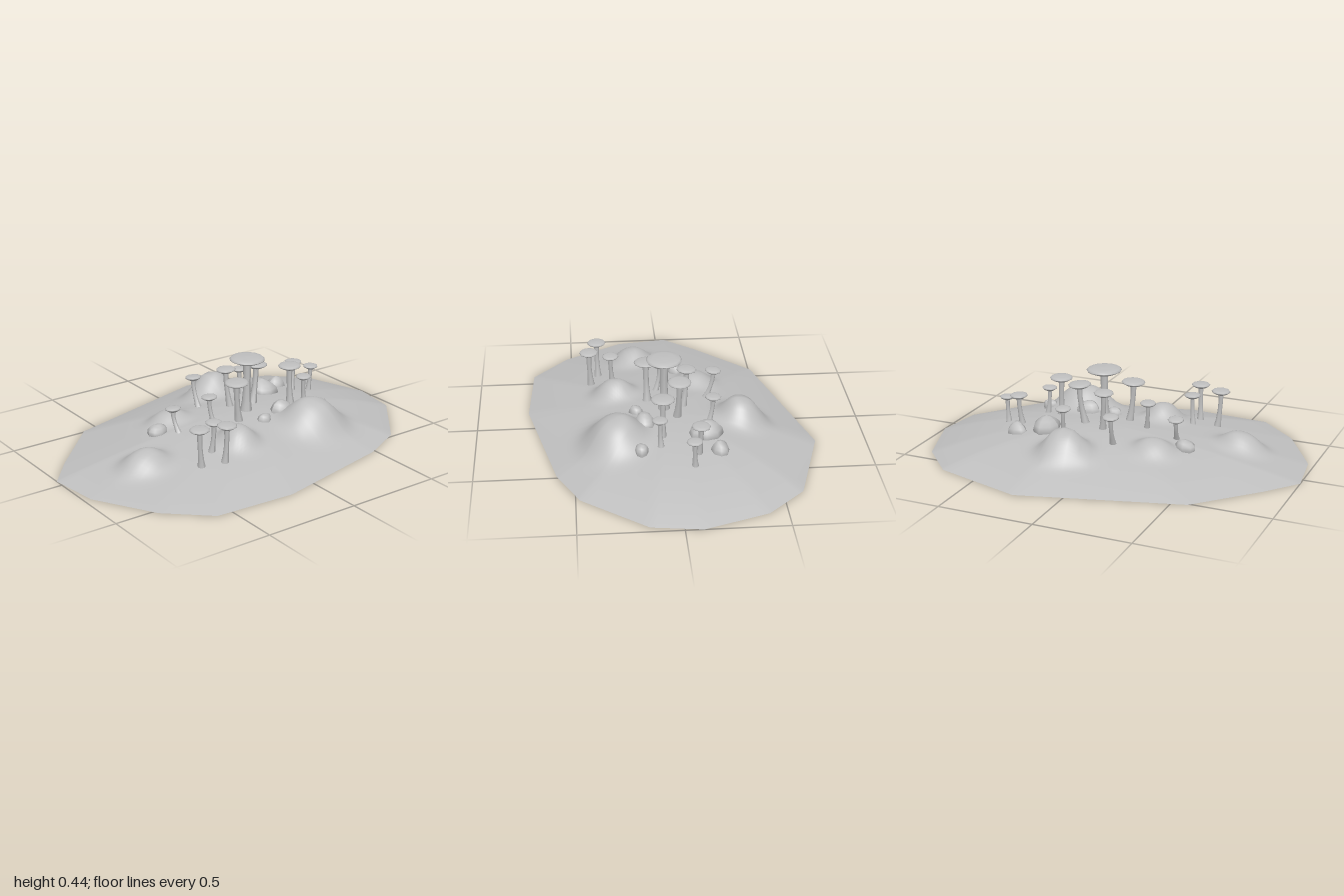
import * as THREE from 'three';

// Ground rim as x, z pairs, and the point the mound rises to
const RIM = [
  [-1, -0.05], [-0.86, -0.22], [-0.58, -0.51], [0.24, -0.74], [0.71, -0.6], [0.89, -0.41], [1, -0.09],
  [0.965, 0.16], [0.71, 0.48], [0.485, 0.59], [-0.16, 0.735], [-0.58, 0.71], [-0.785, 0.525], [-0.965, 0.215],
];
const CX = 0.15, CZ = 0;

// Hummocks: x, z, height, radius x, radius z
const HUMMOCKS = [
  [0.33, 0.3, 0.122, 0.155, 0.14], [-0.63, 0.16, 0.08, 0.115, 0.1], [-0.145, 0.28, 0.078, 0.09, 0.1],
  [0.14, -0.37, 0.118, 0.115, 0.11], [-0.27, -0.17, 0.055, 0.1, 0.09],
];

// Mushrooms: cap x, cap z, cap radius, top y, base x, base z
const MUSHROOMS = [
  [0.095, 0.03, 0.092, 0.44, 0.09, 0.03], [-0.035, 0.115, 0.062, 0.36, -0.015, 0.11],
  [0.205, -0.04, 0.06, 0.362, 0.175, -0.03], [0.045, -0.09, 0.052, 0.352, 0.06, -0.07],
  [0.355, 0.055, 0.06, 0.35, 0.36, 0.06], [0.435, 0.075, 0.04, 0.275, 0.445, 0.07],
  [-0.15, 0.035, 0.042, 0.282, -0.135, 0.06], [-0.06, -0.24, 0.043, 0.285, -0.055, -0.195],
  [0.22, -0.21, 0.042, 0.28, 0.23, -0.185], [0.52, -0.12, 0.047, 0.283, 0.505, -0.11],
  [0.61, -0.08, 0.04, 0.25, 0.6, -0.085], [-0.33, -0.03, 0.042, 0.24, -0.32, 0.015],
  [-0.435, 0.36, 0.05, 0.284, -0.42, 0.355], [-0.3, 0.29, 0.044, 0.265, -0.31, 0.28],
  [-0.305, 0.405, 0.05, 0.29, -0.31, 0.395],
];

// Stones: x, z, radius x, radius z, height above the ground
const STONES = [
  [0.34, -0.16, 0.075, 0.092, 0.075], [0.48, -0.22, 0.056, 0.048, 0.055], [0.24, 0.14, 0.068, 0.056, 0.05],
  [0.1, 0.175, 0.042, 0.038, 0.035], [0.48, 0.17, 0.044, 0.036, 0.04], [-0.4, -0.07, 0.057, 0.05, 0.05],
];

// Share of the way from the mound's centre to the rim
function rimShare(x, z) {
  const dx = x - CX, dz = z - CZ;
  let t = 0;
  RIM.forEach(([ax, az], i) => {
    const [bx, bz] = RIM[(i + 1) % RIM.length];
    const nx = bz - az, nz = ax - bx;
    t = Math.max(t, (dx * nx + dz * nz) / ((ax - CX) * nx + (az - CZ) * nz));
  });
  return Math.min(t, 1);
}

function groundHeight(x, z) {
  const t = rimShare(x, z);
  const side = (x - CX) / (Math.hypot(x - CX, z - CZ) + 1e-6);
  let y = 0.143 * (1 - t ** 1.9) + 0.04 * side * t * t * (1 - t);
  for (const [hx, hz, h, rx, rz] of HUMMOCKS) {
    const d = Math.hypot((x - hx) / rx, (z - hz) / rz);
    y += h * Math.exp(-(d ** 3)) * (1 - t ** 8);
  }
  return y;
}

// Open mound made of rings that shrink from the rim to the centre
function groundGeometry(rings = 56, split = 9) {
  const pos = [], index = [], n = RIM.length * split;
  for (let r = 0; r <= rings; r++) {
    for (let i = 0; i < n; i++) {
      const a = RIM[Math.floor(i / split)], b = RIM[(Math.floor(i / split) + 1) % RIM.length];
      const f = (i % split) / split, t = r / rings;
      const x = CX + (a[0] + (b[0] - a[0]) * f - CX) * t;
      const z = CZ + (a[1] + (b[1] - a[1]) * f - CZ) * t;
      pos.push(x, groundHeight(x, z), z);
      if (r < rings) {
        const j = (i + 1) % n, p = r * n + i, q = r * n + j;
        index.push(p, p + n, q + n);
        if (r > 0) index.push(p, q + n, q);
      }
    }
  }
  // The rim runs clockwise from above, so flip the corners to face up
  for (let k = 0; k < index.length; k += 3) [index[k + 1], index[k + 2]] = [index[k + 2], index[k + 1]];
  const geo = new THREE.BufferGeometry();
  geo.setAttribute('position', new THREE.Float32BufferAttribute(pos, 3));
  geo.setIndex(index);
  geo.computeVertexNormals();
  // All centre points share one upright normal
  for (let i = 0; i < n; i++) geo.attributes.normal.setXYZ(i, 0, 1, 0);
  // Turn the face winding upward if needed
  const v = [0, 1, 2].map((k) => new THREE.Vector3().fromBufferAttribute(geo.attributes.position, index[k]));
  if (v[1].clone().sub(v[0]).cross(v[2].clone().sub(v[0])).y < 0) {
    geo.setIndex(index.map((_, k) => index[k - (k % 3) + 2 - (k % 3)]));
    geo.computeVertexNormals();
    for (let i = 0; i < n; i++) geo.attributes.normal.setXYZ(i, 0, 1, 0);
  }
  return geo;
}

// Stem leaning from its base to the cap: each ring slides sideways
function stemGeometry(base, top, rBase, rTop) {
  const h = top.y - base.y;
  const geo = new THREE.CylinderGeometry(rTop, rBase, h, 8, 4, true);
  const p = geo.attributes.position;
  for (let i = 0; i < p.count; i++) {
    const f = p.getY(i) / h + 0.5;
    const flare = 1 - 0.3 * Math.sin(Math.PI * f);
    const lean = Math.sin((f * Math.PI) / 2);
    p.setXYZ(i,
      p.getX(i) * flare + base.x + (top.x - base.x) * lean,
      base.y + h * f,
      p.getZ(i) * flare + base.z + (top.z - base.z) * lean);
  }
  geo.computeVertexNormals();
  return geo;
}

// Lens-shaped cap with a shallow funnel below, top at y = 0
function capGeometry(r, thick) {
  const profile = [
    [0.14, -1], [0.6, -0.75], [0.97, -0.42], [1, -0.3], [0.9, -0.14], [0.6, -0.03], [0, 0],
  ].map(([x, y]) => new THREE.Vector2(x * r, y * thick));
  return new THREE.LatheGeometry(profile, r > 0.055 ? 16 : 10);
}

// Lumpy dome, open where it sinks into the ground
function stoneGeometry(rx, rz, h, seed) {
  const geo = new THREE.SphereGeometry(1, 8, 5, 0, Math.PI * 2, 0, Math.PI * 0.62);
  const p = geo.attributes.position;
  for (let i = 0; i < p.count; i++) {
    const x = p.getX(i), y = p.getY(i), z = p.getZ(i);
    const k = 0.95 + 0.1 * Math.sin(3 * x + seed * 2.1) * Math.cos(2.5 * z + seed) + 0.05 * Math.sin(4 * y + seed);
    p.setXYZ(i, x * k * rx, y * k * h, z * k * rz);
  }
  geo.computeVertexNormals();
  return geo;
}

export function createModel() {
  const model = new THREE.Group();
  model.name = 'mushroomMound';
  const grey = new THREE.MeshStandardMaterial({ color: 0xbfbfbf, side: THREE.DoubleSide });
  grey.name = 'plainGrey';
  const add = (parent, name, geo) => {
    const mesh = new THREE.Mesh(geo, grey);
    mesh.name = name;
    parent.add(mesh);
    return mesh;
  };

  add(model, 'ground', groundGeometry());

  // Mushrooms
  MUSHROOMS.forEach(([x, z, r, topY, bx, bz], i) => {
    const mushroom = new THREE.Group();
    mushroom.name = `mushroom${i + 1}`;
    const thick = 0.018 + r * 0.32;
    const base = new THREE.Vector3(bx, groundHeight(bx, bz) - 0.012, bz);
    const top = new THREE.Vector3(x, topY - thick * 0.85, z);
    add(mushroom, 'stem', stemGeometry(base, top, 0.008 + r * 0.27, 0.004 + r * 0.2));
    const cap = add(mushroom, 'cap', capGeometry(r, thick));
    cap.position.set(x, topY, z);
    cap.rotation.set((z - bz) * 2, 0, (bx - x) * 2);
    model.add(mushroom);
  });

  // Stones
  STONES.forEach(([x, z, rx, rz, h], i) => {
    const stone = add(model, `stone${i + 1}`, stoneGeometry(rx, rz, h, i + 1));
    stone.position.set(x, groundHeight(x, z), z);
  });
  return model;
}
